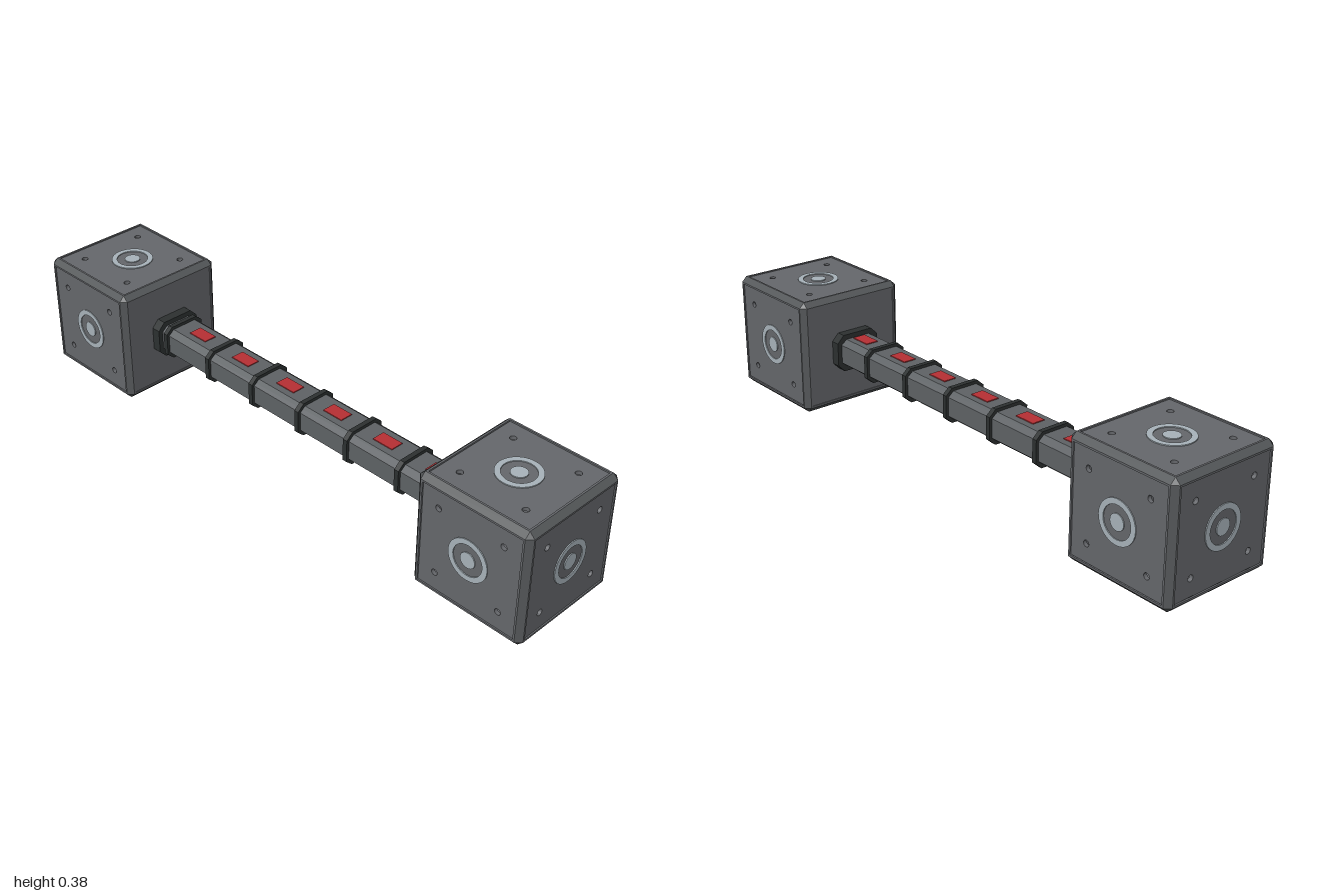
import * as THREE from 'three';

const H = 0.191;      // half size of an end cube
const A = 0.174;      // half size of a cube face inside the bevel
const P = 0.168;      // half size of a face panel
const MID_Y = H;      // height of the central axis
const CUBE_Z = 1 - H;

const mat = (name, color) => Object.assign(new THREE.MeshStandardMaterial({ color }), { name });

function square(s, Kind = THREE.Shape) {
  return new Kind([[-s, -s], [s, -s], [s, s], [-s, s]].map(([x, y]) => new THREE.Vector2(x, y)));
}

function circleHole(x, y, r) {
  return new THREE.Path().absarc(x, y, r, 0, Math.PI * 2, true);
}

function extrude(shape, depth) {
  return new THREE.ExtrudeGeometry(shape, { depth, bevelEnabled: false, curveSegments: 16 });
}

// Octagonal prism along z, centred on its length
function octPrism(w, h, cx, cy, length) {
  const pts = [[w, -h + cy], [w, h - cy], [w - cx, h], [-w + cx, h],
    [-w, h - cy], [-w, -h + cy], [-w + cx, -h], [w - cx, -h]];
  const shape = new THREE.Shape(pts.map(([x, y]) => new THREE.Vector2(x, y)));
  return extrude(shape, length).translate(0, 0, -length / 2);
}

// Twelve edge chamfers and eight corner triangles of a cube
function bevelGeometry() {
  const pos = [];
  const tri = (a, b, c) => {
    const n = b.clone().sub(a).cross(c.clone().sub(a));
    const list = n.dot(a) > 0 ? [a, b, c] : [a, c, b];
    list.forEach((v) => pos.push(v.x, v.y, v.z));
  };
  const at = (axis, u, v, w) => {
    const p = [0, 0, 0];
    p[axis] = w;
    p[(axis + 1) % 3] = u;
    p[(axis + 2) % 3] = v;
    return new THREE.Vector3(...p);
  };
  for (const s of [-1, 1]) for (const t of [-1, 1]) {
    for (let axis = 0; axis < 3; axis++) {
      const a = at(axis, s * H, t * A, -A), b = at(axis, s * A, t * H, -A);
      const c = at(axis, s * A, t * H, A), d = at(axis, s * H, t * A, A);
      tri(a, b, c);
      tri(a, c, d);
    }
    for (const r of [-1, 1]) tri(at(0, s * A, t * A, r * H), at(0, s * A, t * H, r * A), at(0, s * H, t * A, r * A));
  }
  const g = new THREE.BufferGeometry();
  g.setAttribute('position', new THREE.Float32BufferAttribute(pos, 3));
  g.computeVertexNormals();
  return g;
}

export function createModel() {
  const panelMat = mat('panel grey', 0x66686c);
  const edgeMat = mat('edge grey', 0x55585a);
  const barMat = mat('bar grey', 0x5f6366);
  const darkMat = mat('dark rubber', 0x2d3131);
  const metalMat = mat('pale metal', 0xa9b4bb);
  const redMat = mat('red', 0xb83034);

  const model = new THREE.Group();
  model.name = 'barbell';
  const add = (parent, name, geometry, material, x = 0, y = 0, z = 0) => {
    const mesh = new THREE.Mesh(geometry, material);
    mesh.name = name;
    mesh.position.set(x, y, z);
    parent.add(mesh);
    return mesh;
  };

  // Shared face geometries
  const frameShape = square(A);
  frameShape.holes.push(square(P, THREE.Path));
  const frameGeo = extrude(frameShape, 0.012);
  const plainGeo = extrude(square(P), 0.012);
  const drilledShape = square(P - 0.002);
  for (const x of [-0.11, 0.11]) for (const y of [-0.11, 0.11]) drilledShape.holes.push(circleHole(x, y, 0.01));
  const drilledGeo = extrude(drilledShape, 0.012);
  const grooveShape = square(P);
  grooveShape.holes.push(square(P - 0.002, THREE.Path));
  const grooveGeo = extrude(grooveShape, 0.01);
  const ringShape = new THREE.Shape().absarc(0, 0, 0.067, 0, Math.PI * 2);
  ringShape.holes.push(circleHole(0, 0, 0.05));
  const ringGeo = extrude(ringShape, 0.003);
  const discGeo = extrude(new THREE.Shape().absarc(0, 0, 0.025, 0, Math.PI * 2), 0.003);
  const bevelGeo = bevelGeometry();

  // Face rotations; the last one is the side that meets the bar
  const q = Math.PI / 2;
  const faces = [['outer', 0, 0], ['left', 0, q], ['right', 0, -q], ['top', -q, 0], ['bottom', q, 0], ['inner', 0, 2 * q]];

  // Hollow end cubes with drilled panels
  for (const side of [1, -1]) {
    const cube = new THREE.Group();
    cube.name = side > 0 ? 'frontCube' : 'backCube';
    cube.position.set(0, MID_Y, side * CUBE_Z);
    if (side < 0) cube.rotation.y = Math.PI;
    add(cube, 'bevelledEdges', bevelGeo, edgeMat);
    for (const [name, rx, ry] of faces) {
      const face = new THREE.Group();
      face.name = name + 'Face';
      face.rotation.set(rx, ry, 0);
      add(face, 'faceFrame', frameGeo, panelMat, 0, 0, H - 0.012);
      if (name === 'inner') {
        add(face, 'plainPanel', plainGeo, panelMat, 0, 0, H - 0.015);
      } else {
        add(face, 'drilledPanel', drilledGeo, panelMat, 0, 0, H - 0.015);
        add(face, 'panelGroove', grooveGeo, darkMat, 0, 0, H - 0.015);
        add(face, 'metalRing', ringGeo, metalMat, 0, 0, H - 0.003);
        add(face, 'metalDisc', discGeo, metalMat, 0, 0, H - 0.003);
      }
      cube.add(face);
    }
    model.add(cube);
    add(model, 'collar', octPrism(0.079, 0.063, 0.024, 0.024, 0.036), darkMat, 0, MID_Y, side * 0.608);
  }

  // Bar with grip bands and red marks on top
  add(model, 'bar', octPrism(0.064, 0.047, 0.02, 0.016, 1.24), barMat, 0, MID_Y, 0);
  const bandGeo = octPrism(0.073, 0.057, 0.023, 0.02, 0.016);
  const markGeo = new THREE.BoxGeometry(0.044, 0.004, 0.074);
  for (let i = 0; i < 6; i++) {
    add(model, 'gripBand', bandGeo, darkMat, 0, MID_Y, -0.565 + i * 0.202);
    add(model, 'redMark', markGeo, redMat, 0, MID_Y + 0.048, -0.465 + i * 0.202);
  }
  return model;
}
